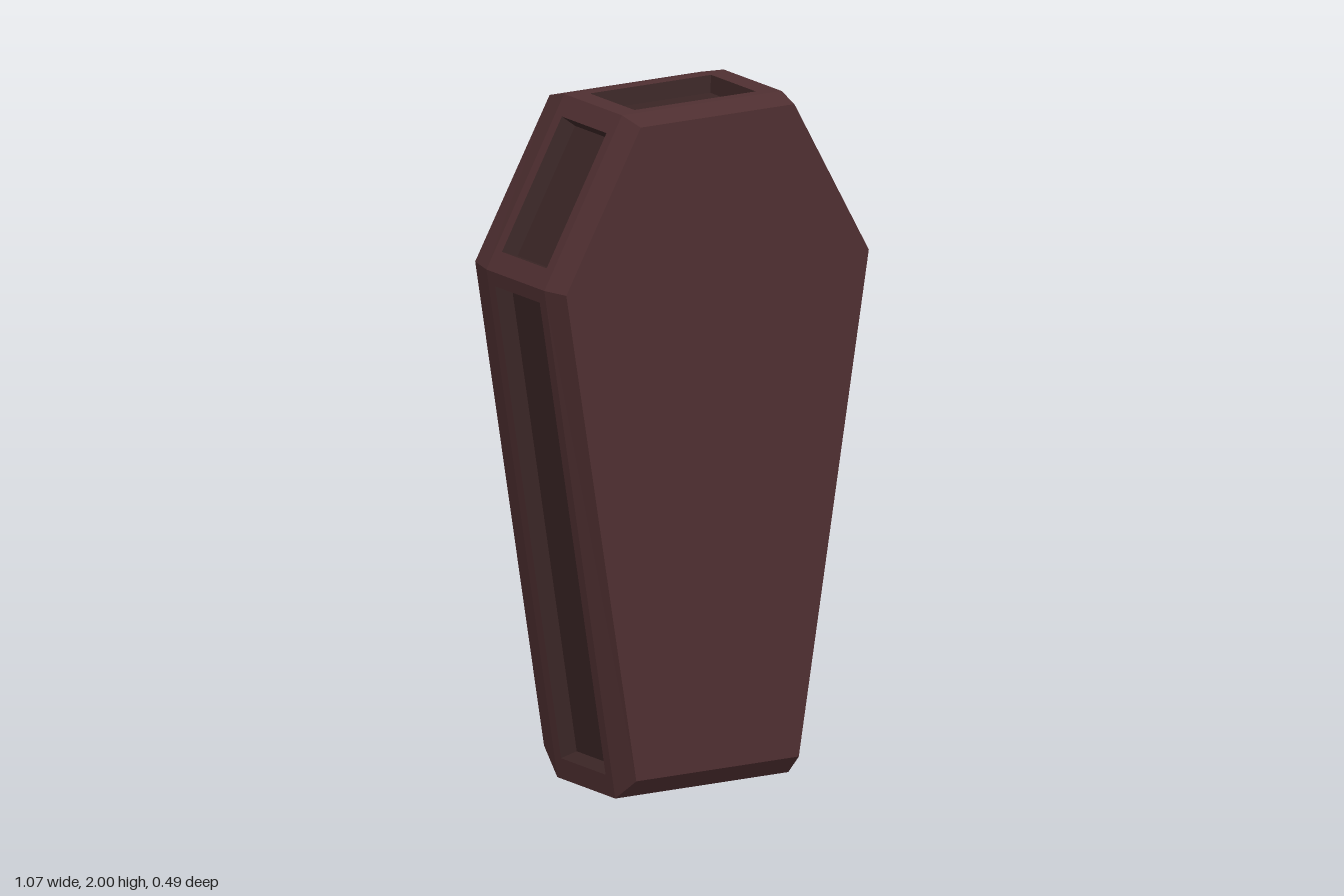
import * as THREE from 'three';

const wood = new THREE.MeshStandardMaterial({ color: 0x4f2f31 });
wood.name = 'reddish wood';
const darkWood = new THREE.MeshStandardMaterial({ color: 0x3a2525 });
darkWood.name = 'dark recessed wood';

// Symmetric hexagon, counter-clockwise seen from the front
function hexagon(bottom, middle, top, z) {
  const half = [bottom, middle, top];
  return [
    ...half.map(([x, y]) => new THREE.Vector3(x, y, z)),
    ...half.slice().reverse().map(([x, y]) => new THREE.Vector3(-x, y, z)),
  ];
}

// Triangles for a convex face
function cap(loop) {
  const out = [];
  for (let i = 1; i < loop.length - 1; i++) out.push(loop[0], loop[i], loop[i + 1]);
  return out;
}

// Band of quads joining two closed loops
function strip(a, b) {
  return a.flatMap((p, i) => {
    const j = (i + 1) % a.length;
    return cap([p, a[j], b[j], b[i]]);
  });
}

function faceMesh(name, points, material) {
  const geometry = new THREE.BufferGeometry().setFromPoints(points);
  geometry.computeVertexNormals(); // separate triangles give flat shading
  const mesh = new THREE.Mesh(geometry, material);
  mesh.name = name;
  return mesh;
}

// Side face with a rectangular sunken panel; t0 and t1 run along edge p to q
function sunkenPanel(name, back, front, i, t0, t1) {
  const j = (i + 1) % back.length;
  const p = back[i], q = back[j];
  const along = q.clone().sub(p).normalize();
  const normal = along.clone().cross(new THREE.Vector3(0, 0, 1));
  const at = (t, z, push, depth) => p.clone().lerp(q, t).setZ(z)
    .addScaledVector(along, push).addScaledVector(normal, -depth);
  const rectangle = (inset, depth) => [
    at(t0, -0.11 + inset, inset, depth), at(t1, -0.11 + inset, -inset, depth),
    at(t1, 0.125 - inset, -inset, depth), at(t0, 0.125 - inset, inset, depth),
  ];
  const opening = rectangle(0, 0), floor = rectangle(0.008, 0.05);
  const group = new THREE.Group();
  group.name = name;
  group.add(
    faceMesh(name + 'Frame', strip([p, q, front[j], front[i]], opening), wood),
    faceMesh(name + 'Recess', [...strip(opening, floor), ...cap(floor)], darkWood),
  );
  return group;
}

export function createModel() {
  const model = new THREE.Group();
  model.name = 'coffin';

  // Cross-sections from back to front
  const back = hexagon([0.275, 0.07], [0.508, 1.52], [0.256, 1.975], -0.243);
  const midBack = hexagon([0.293, 0], [0.533, 1.52], [0.27, 2], -0.145);
  const midFront = hexagon([0.293, 0], [0.533, 1.52], [0.27, 2], 0.16);
  const front = hexagon([0.275, 0.065], [0.512, 1.52], [0.26, 1.98], 0.243);

  // Flat front and chamfered edges
  model.add(
    faceMesh('frontPanel', cap(front), wood),
    faceMesh('frontChamfer', strip(midFront, front), wood),
    faceMesh('backChamfer', strip(back, midBack), wood),
  );

  // Six side walls, each with a sunken panel
  [
    ['lowerLeftSide', 0.042, 0.972], ['upperLeftSide', 0.115, 0.885], ['topSide', 0.12, 0.88],
    ['upperRightSide', 0.115, 0.885], ['lowerRightSide', 0.028, 0.958], ['bottomSide', 0.11, 0.89],
  ].forEach(([name, t0, t1], i) => model.add(sunkenPanel(name, midBack, midFront, i, t0, t1)));

  // Hollow back with its rim
  const rim = back.slice().reverse();
  const opening = hexagon([0.222, 0.18], [0.41, 1.48], [0.205, 1.87], -0.243).reverse();
  const floor = hexagon([0.21, 0.195], [0.395, 1.48], [0.195, 1.855], -0.15).reverse();
  model.add(
    faceMesh('backRim', strip(rim, opening), wood),
    faceMesh('backRecess', [...strip(opening, floor), ...cap(floor)], darkWood),
  );

  // Raised cross inside the hollow
  const outline = [[0.03, 1.28], [0.03, 1.565], [0.096, 1.565], [0.096, 1.635], [0.03, 1.635], [0.03, 1.695]];
  const points = [...outline, ...outline.slice().reverse().map(([x, y]) => [-x, y])];
  const crossShape = new THREE.Shape(points.map(([x, y]) => new THREE.Vector2(x, y)));
  const cross = new THREE.Mesh(
    new THREE.ExtrudeGeometry(crossShape, { depth: 0.055, bevelEnabled: false }), wood);
  cross.name = 'cross';
  cross.position.z = -0.2;
  model.add(cross);

  return model;
}
